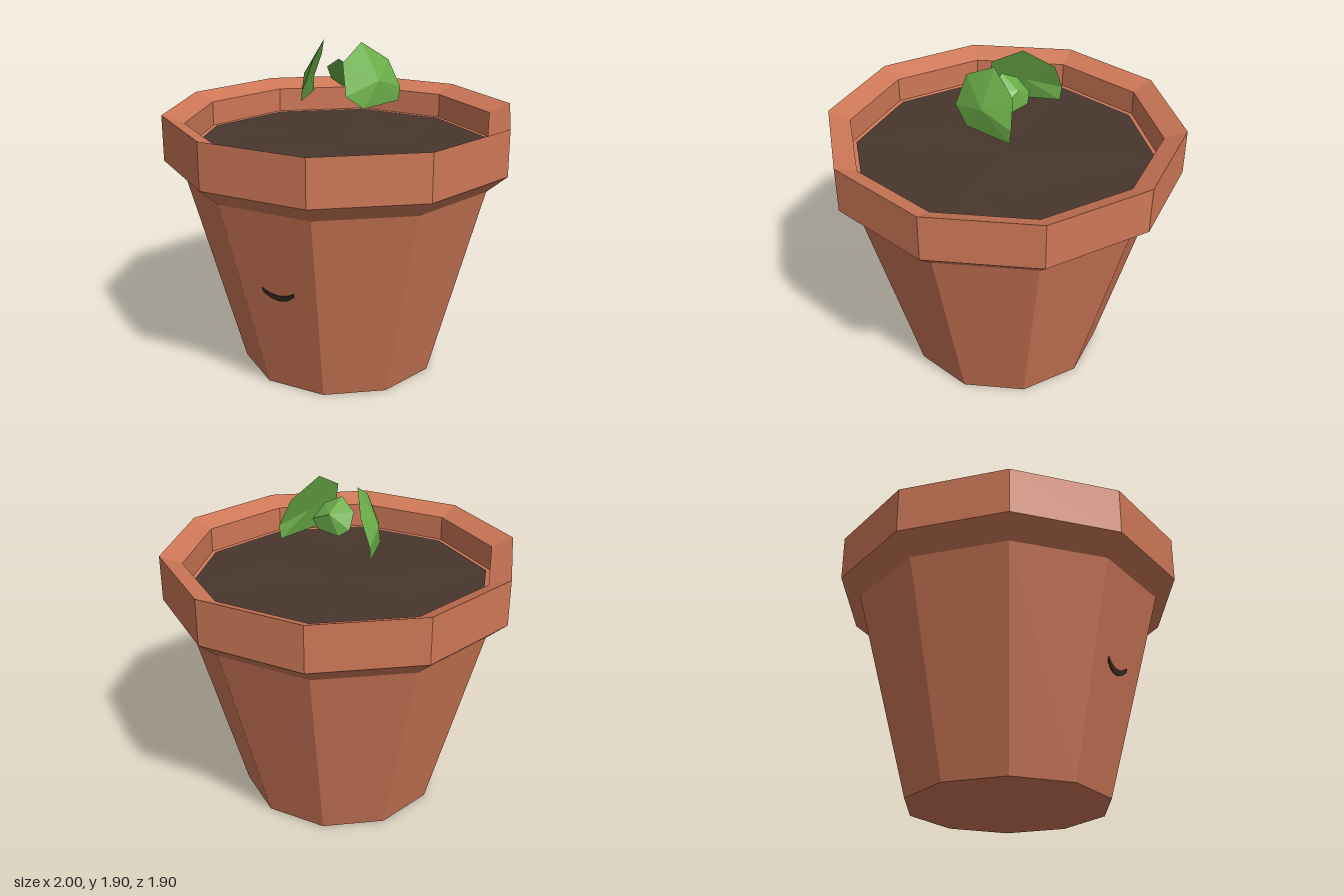
import * as THREE from 'three';

const mat = (name, color) => {
  const m = new THREE.MeshStandardMaterial({ color });
  m.name = name;
  return m;
};

// Faceted normals
const faceted = (g) => {
  const f = g.index ? g.toNonIndexed() : g;
  f.computeVertexNormals();
  return f;
};

// Ten-sided turned form with a corner on the x axis
const turned = (profile) =>
  new THREE.LatheGeometry(profile.map(([r, y]) => new THREE.Vector2(r, y)), 10, Math.PI / 2);

// Leaf: rim listed clockwise seen from outside, with a bulged outer and a shallow inner face
function leafGeometry(rim, outer, inner) {
  const pos = [];
  rim.forEach((p, i) => {
    const q = rim[(i + 1) % rim.length];
    pos.push(...outer, ...q, ...p, ...inner, ...p, ...q);
  });
  const g = new THREE.BufferGeometry();
  g.setAttribute('position', new THREE.Float32BufferAttribute(pos, 3));
  return faceted(g);
}

export function createModel() {
  const model = new THREE.Group();
  model.name = 'pottedSprout';
  const terracotta = mat('terracotta', 0xcd7757);
  const earth = mat('dark earth', 0x48362d);
  const dark = mat('dark brown', 0x3a2a22);
  const green = mat('leaf green', 0x6db04a);

  const add = (name, geometry, material) => {
    const mesh = new THREE.Mesh(geometry, material);
    mesh.name = name;
    model.add(mesh);
    return mesh;
  };

  // Pot: base, tapered wall, flared collar, bevelled lip, inner wall and ledge
  add('pot', faceted(turned([
    [0, 0], [0.575, 0], [0.885, 1.15], [1, 1.25], [1, 1.51],
    [0.878, 1.46], [0.878, 1.315], [0.8, 1.295],
  ])), terracotta);

  // Soil with a gently uneven middle ring
  const soil = turned([[0.855, 1.28], [0.855, 1.315], [0.44, 1.315], [0, 1.315]]);
  const p = soil.attributes.position;
  for (let i = 0; i < p.count; i++) {
    const r = Math.hypot(p.getX(i), p.getZ(i));
    if (r > 0.2 && r < 0.6) {
      const a = Math.atan2(p.getZ(i), p.getX(i));
      p.setY(i, p.getY(i) + 0.015 * Math.sin(3 * a + 1));
    }
  }
  add('soil', faceted(soil), earth);

  // Smile: thin crescent lying on the sloped front panel
  const s = new THREE.Shape();
  s.moveTo(-0.098, 0.036);
  s.quadraticCurveTo(0, -0.036, 0.098, 0.036);
  s.lineTo(0.094, 0.01);
  s.quadraticCurveTo(0, -0.075, -0.094, 0.01);
  s.closePath();
  const smile = add('smile', new THREE.ExtrudeGeometry(s, { depth: 0.006, bevelEnabled: false, curveSegments: 8 }), dark);
  smile.position.set(0, 0.64, 0.711);
  smile.rotation.x = Math.atan(0.256);

  // Side leaves: mirrored pair, the right one slightly lower and further back
  const rim = [
    [0.13, 1.9, 0], [0.225, 1.79, -0.15], [0.292, 1.64, -0.17], [0.288, 1.56, -0.16],
    [0.21, 1.56, 0.13], [0.15, 1.64, 0.225], [0.105, 1.81, 0.175],
  ];
  const outer = [0.25, 1.7, 0.02];
  const inner = [0.205, 1.69, 0.02];
  const mirror = ([x, y, z]) => [-x, y - 0.01, z - 0.05];
  add('leftLeaf', leafGeometry(rim, outer, inner), green);
  add('rightLeaf', leafGeometry(rim.map(mirror).reverse(), mirror(outer), mirror(inner)), green);

  // Small middle leaf leaning forward
  add('middleLeaf', leafGeometry([
    [0, 1.8, 0.02], [-0.1, 1.74, -0.03], [-0.11, 1.66, -0.1], [-0.05, 1.62, -0.115],
    [0.1, 1.62, -0.07], [0.145, 1.67, -0.05], [0.1, 1.75, 0.01],
  ], [0.02, 1.725, -0.09], [0.015, 1.675, -0.055]), green);

  return model;
}
